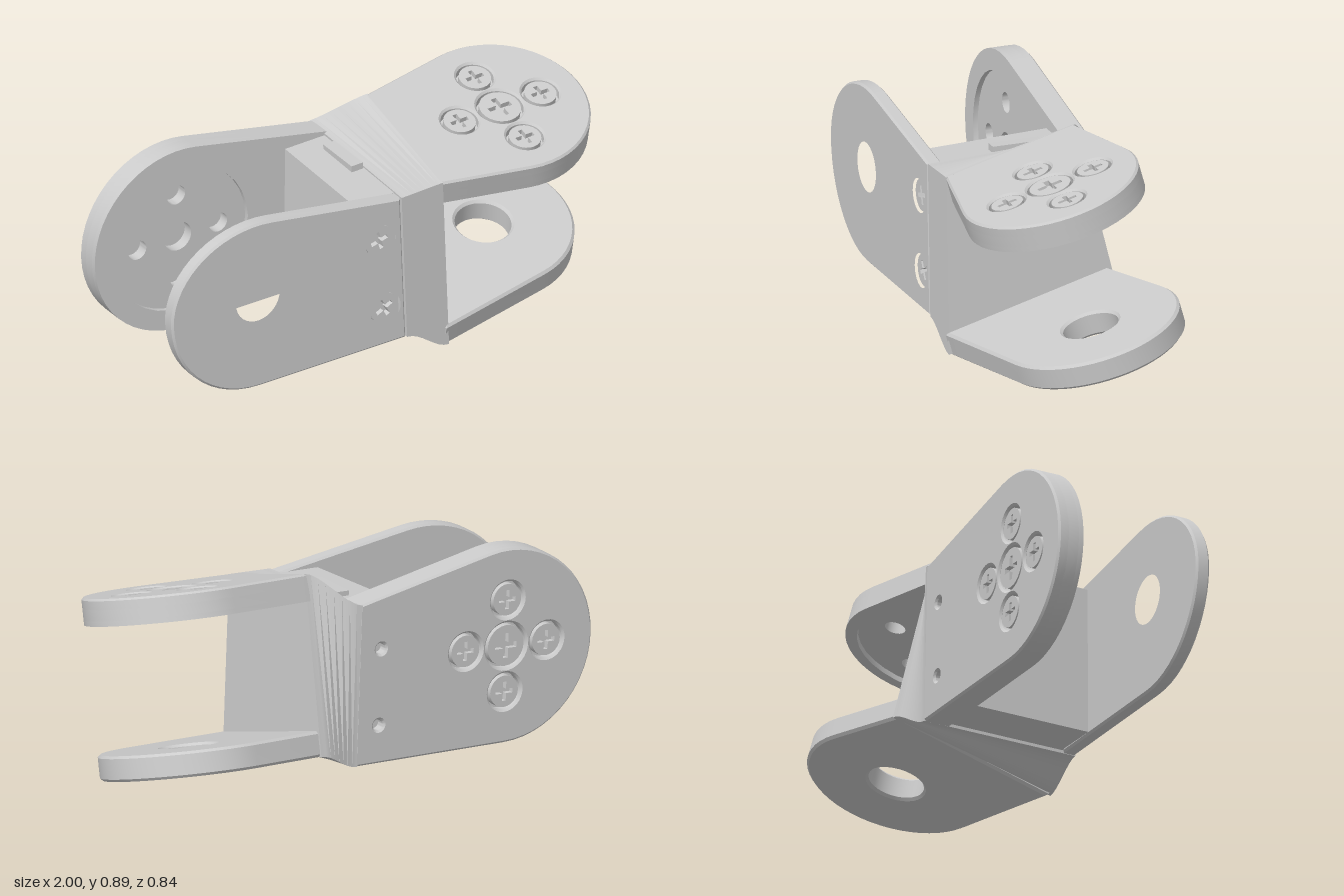
import * as THREE from 'three';
import { toCreasedNormals } from 'three/addons/utils/BufferGeometryUtils.js';

const material = new THREE.MeshStandardMaterial({ color: 0xcccccc });

function add(parent, name, geometry) {
  const mesh = new THREE.Mesh(toCreasedNormals(geometry, 0.5), material);
  mesh.name = name;
  parent.add(mesh);
  return mesh;
}

// Straight base edge at x0 running tangentially into a round end
function outline(x0, yLow, yHigh, cx, cy, r) {
  const tangent = (y, side) => {
    const a = Math.atan2(y - cy, x0 - cx);
    return (a < 0 ? a + 2 * Math.PI : a) + side * Math.acos(r / Math.hypot(x0 - cx, y - cy));
  };
  const start = tangent(yLow, 1) - 2 * Math.PI, end = tangent(yHigh, -1);
  const points = [new THREE.Vector2(x0, yLow)];
  for (let i = 0; i <= 28; i++) {
    const a = start + (end - start) * i / 28;
    points.push(new THREE.Vector2(cx + r * Math.cos(a), cy + r * Math.sin(a)));
  }
  points.push(new THREE.Vector2(x0, yHigh));
  return points;
}

// Slab between z = top - thick and z = top; holes are [x, y, radius]
function slab(points, holes, top, thick, bevel = 0) {
  const shape = new THREE.Shape(points);
  for (const [x, y, r] of holes) shape.holes.push(new THREE.Path().absarc(x, y, r, 0, Math.PI * 2, true));
  return new THREE.ExtrudeGeometry(shape, {
    depth: thick - 2 * bevel, bevelEnabled: bevel > 0, bevelThickness: bevel,
    bevelSize: bevel, bevelOffset: -bevel, bevelSegments: 1, curveSegments: 16,
  }).translate(0, 0, top - thick + bevel);
}

// Screw with a cross recess, head top at z = height
function screw(parent, x, y, z, r, height, turn = 0) {
  const group = new THREE.Group();
  group.name = 'screw';
  const head = new THREE.Shape().absarc(0, 0, r, 0, Math.PI * 2);
  const w = r * 0.14, l = r * 0.6;
  head.holes.push(new THREE.Path([
    [w, w], [w, l], [-w, l], [-w, w], [-l, w], [-l, -w], [-w, -w], [-w, -l], [w, -l], [w, -w], [l, -w], [l, w],
  ].map(p => new THREE.Vector2(...p))));
  add(group, 'screwHead', new THREE.ExtrudeGeometry(head, { depth: height * 0.6, bevelEnabled: false, curveSegments: 12 })
    .translate(0, 0, height * 0.4));
  add(group, 'screwBase', new THREE.CylinderGeometry(r, r, height * 0.4, 24).rotateX(Math.PI / 2).translate(0, 0, height * 0.2));
  group.position.set(x, y, z);
  group.rotation.z = turn;
  parent.add(group);
}

// Plate holding a round drive horn: screws outside, shallow round pocket inside
function hornPlate(name, points, cx, cy, thick, extraHoles) {
  const group = new THREE.Group();
  group.name = name;
  const spots = [[0, 0], [0.18, 0], [-0.18, 0], [0, 0.18], [0, -0.18]].map(([x, y]) => [cx + x, cy + y]);
  const radius = i => (i ? 0.072 : 0.09);
  add(group, 'outerLayer', slab(points, [...spots.map((s, i) => [...s, radius(i)]), ...extraHoles], 0, 0.05, 0.008));
  add(group, 'coreLayer', slab(points, spots.map((s, i) => [...s, i ? 0.04 : 0.06]), -0.04, thick - 0.06));
  add(group, 'pocketRim', slab(points, [[cx, cy, 0.3]], 0.02 - thick, 0.02));
  spots.forEach((s, i) => screw(group, ...s, -0.04, radius(i) - 0.01, 0.036));
  return group;
}

// Solid through four-cornered sections ordered along +x
function loft(sections) {
  const position = sections.flat(2), index = [0, 1, 2, 0, 2, 3];
  const n = (sections.length - 1) * 4;
  for (let k = 0; k < n; k += 4) {
    for (let i = 0; i < 4; i++) {
      const a = k + i, b = k + (i + 1) % 4;
      index.push(a, a + 4, b, b, a + 4, b + 4);
    }
  }
  index.push(n, n + 2, n + 1, n, n + 3, n + 2);
  const geometry = new THREE.BufferGeometry();
  geometry.setAttribute('position', new THREE.Float32BufferAttribute(position, 3));
  geometry.setIndex(index);
  geometry.computeVertexNormals();
  return geometry;
}

export function createModel() {
  const model = new THREE.Group();
  model.name = 'jointBracket';
  const body = new THREE.Group();
  body.name = 'body';
  body.rotation.z = 0.04;
  model.add(body);

  // Upright fork, thin front plate with a slightly flattened top
  const frontPoints = outline(-0.046, 0.088, 0.736, 0.6, 0.48, 0.382)
    .map(p => new THREE.Vector2(-p.x, p.y > 0.48 ? 0.48 + (p.y - 0.48) * 0.835 : p.y));
  const frontScrews = [[-0.049, 0.538], [-0.04, 0.242]];
  add(body, 'frontPlate', slab(frontPoints,
    [[-0.6, 0.48, 0.105], ...frontScrews.map(s => [...s, 0.075])], 0.345, 0.058, 0.008));
  frontScrews.forEach((s, i) => screw(body, ...s, 0.285, 0.062, 0.05, 0.25 + i * 0.2));

  // Upright fork, thick back plate
  const back = hornPlate('backPlate', outline(-0.06, 0.088, 0.722, 0.6, 0.48, 0.382), 0.6, 0.48, 0.105,
    [[0.04, 0.54, 0.022], [0.04, 0.24, 0.022]]);
  back.rotation.y = Math.PI;
  back.position.z = -0.305;
  body.add(back);

  // Web between the upright plates
  const web = (low, high) => [[high, 0.692, 0.29], [high, 0.71, -0.25], [low, 0.1, -0.25], [low, 0.1, 0.29]];
  add(body, 'web', loft([web(-0.155, -0.125), web(0.06, 0.06)]));
  add(body, 'cableTab', new THREE.BoxGeometry(0.05, 0.04, 0.2).translate(0.02, 0.705, -0.02));

  // Twisted neck turning the upright section into the tilted one
  const from = [[0.695, 0.345], [0.722, -0.305], [0.088, -0.305], [0.088, 0.345]];
  const to = [[0.697, 0.343], [0.837, -0.18], [0.16, -0.34], [-0.008, 0.342]];
  const neck = [];
  for (let i = 0; i <= 8; i++) {
    const s = i / 8, t = s * s * (3 - 2 * s);
    neck.push(from.map(([y, z], j) => [0.05 + 0.185 * s, y + (to[j][0] - y) * t, z + (to[j][1] - z) * t]));
  }
  add(body, 'neck', loft(neck));

  // Tilted fork
  const fork = new THREE.Group();
  fork.name = 'tiltedFork';
  fork.rotation.x = THREE.MathUtils.degToRad(15);
  body.add(fork);
  const top = hornPlate('topPlate', outline(0.222, -0.15, 0.39, 0.655, 0.115, 0.345), 0.655, 0.115, 0.105, []);
  top.rotation.x = -Math.PI / 2;
  top.position.y = 0.762;
  fork.add(top);
  const bottom = add(fork, 'bottomPlate',
    slab(outline(0.222, -0.36, 0.32, 0.655, -0.115, 0.347), [[0.655, -0.115, 0.108]], 0, 0.098, 0.01));
  bottom.rotation.x = Math.PI / 2;
  bottom.position.y = 0.067;
  return model;
}
